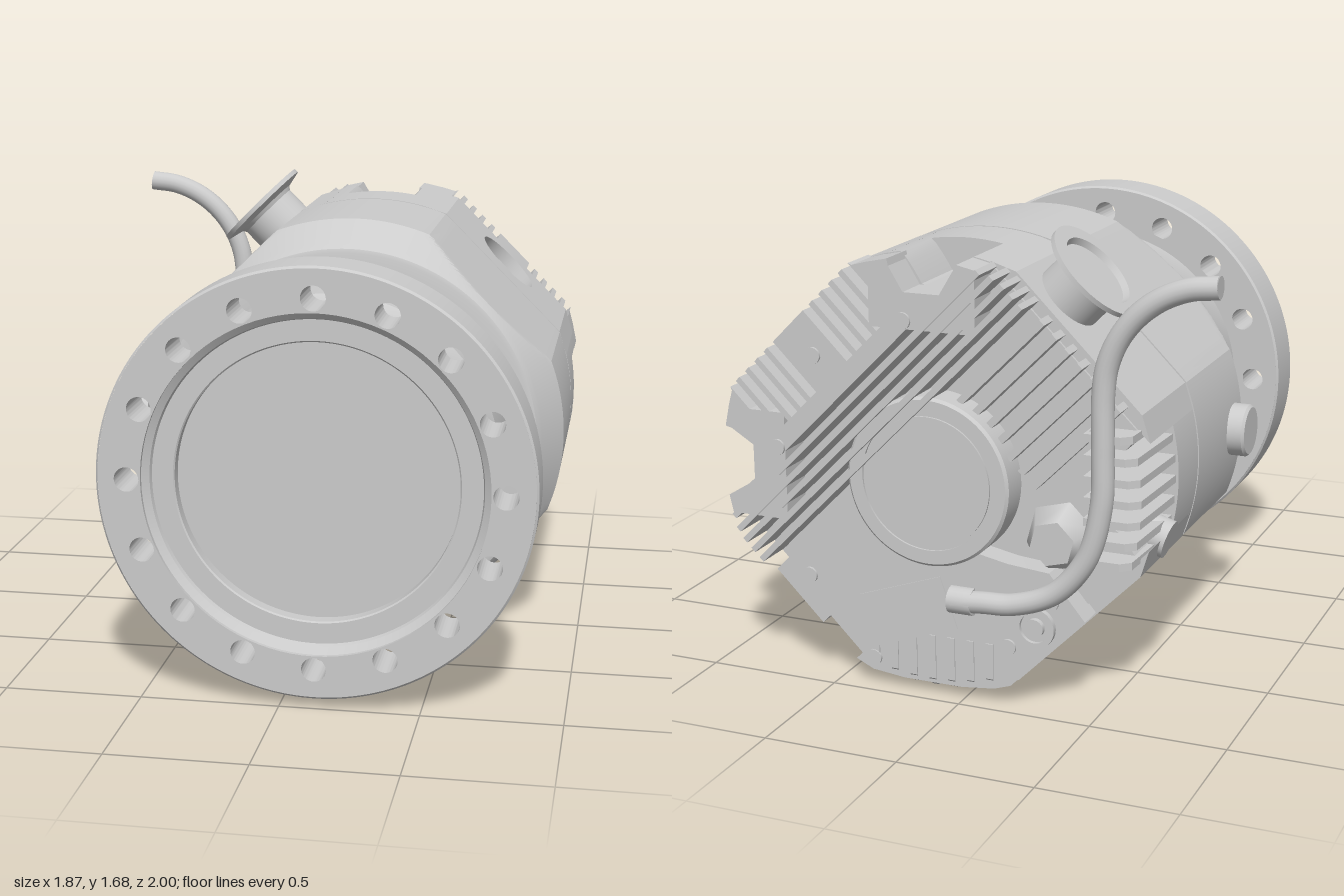
import * as THREE from 'three';
import { toCreasedNormals } from 'three/addons/utils/BufferGeometryUtils.js';

const mat = new THREE.MeshStandardMaterial({ color: 0xcccccc });
const R = 0.805, FLAT = 0.737, QUARTER = Math.PI / 2;

function add(parent, name, geo, x = 0, y = 0, z = 0) {
  const m = new THREE.Mesh(geo, mat);
  m.name = name;
  m.position.set(x, y, z);
  parent.add(m);
  return m;
}

// Distance from the axis at an angle, limited by four flats
function radiusAt(a, r, flat) {
  const d = a - Math.round(a / QUARTER) * QUARTER;
  return Math.min(r, flat / Math.cos(d));
}

// Turned body around z, with optional flats; profile is [radius, z]
function turned(profile, flat = Infinity, n = 180) {
  const pos = [], idx = [], w = n + 1;
  profile.forEach(([r, z]) => {
    for (let i = 0; i <= n; i++) {
      const a = (i / n) * Math.PI * 2, q = radiusAt(a, r, flat);
      pos.push(q * Math.cos(a), q * Math.sin(a), z);
    }
  });
  for (let j = 0; j < profile.length - 1; j++)
    for (let i = 0; i < n; i++) {
      const a = j * w + i, b = a + 1, c = a + w, d = c + 1;
      idx.push(a, c, b, b, c, d);
    }
  const g = new THREE.BufferGeometry();
  g.setAttribute('position', new THREE.Float32BufferAttribute(pos, 3));
  g.setIndex(idx);
  return toCreasedNormals(g, 0.35);
}

// Extrusion between two z values
function slab(shape, zBack, zFront) {
  const g = new THREE.ExtrudeGeometry(shape, { depth: zFront - zBack, bevelEnabled: false, curveSegments: 48 });
  g.translate(0, 0, zBack);
  return toCreasedNormals(g, 0.35);
}

const vectors = pts => pts.map(p => new THREE.Vector2(...p));
const polygon = pts => new THREE.Shape(vectors(pts));
const circle = (x, y, r) => new THREE.Path().absarc(x, y, r, 0, Math.PI * 2, true);
const lathe = (pts, n) => toCreasedNormals(new THREE.LatheGeometry(vectors(pts), n), 0.35);

// Body outline with flared cut-outs [angle, half angle, floor distance]
function outline(flat, cuts) {
  const pts = [];
  for (let i = 0; i < 360; i++) {
    const a = (i / 360) * Math.PI * 2;
    let r = radiusAt(a, R, flat);
    for (const [c, half, floor] of cuts) {
      const d = Math.atan2(Math.sin(a - c), Math.cos(a - c));
      const k = Math.max(0, (Math.abs(d) / half - 0.5) / 0.5);
      if (k < 1) r = Math.min(r, THREE.MathUtils.lerp(floor / Math.cos(d), R, k));
    }
    pts.push([r * Math.cos(a), r * Math.sin(a)]);
  }
  return polygon(pts);
}

// Cover on one flat, tapering to meet the round corners
function flatPanel(holes) {
  const s = polygon([[-0.415, 0.38], [0.415, 0.38], [0.415, 0.84], [-0.415, 0.84]]);
  s.holes.push(...holes);
  const g = new THREE.ExtrudeGeometry(s, { depth: FLAT - 0.69, bevelEnabled: false, curveSegments: 32 });
  const p = g.attributes.position;
  for (let i = 0; i < p.count; i++)
    if (Math.abs(p.getX(i)) > 0.4 && p.getZ(i) > 0.01) p.setX(i, Math.sign(p.getX(i)) * 0.325);
  g.rotateX(-QUARTER);
  g.translate(0, 0.69, 0);
  return toCreasedNormals(g, 0.35);
}

export function createModel() {
  const model = new THREE.Group();
  model.name = 'pump';
  // Turned 45 degrees so that the flats lie on the local axes
  const body = new THREE.Group();
  body.name = 'housing';
  body.position.set(0.125, 0.81, 0);
  body.rotation.z = -Math.PI / 4;
  model.add(body);

  // Front flange with bolt holes
  const ring = new THREE.Shape().absarc(0, 0, 0.762, 0, Math.PI * 2, false);
  ring.holes.push(circle(0, 0, 0.61));
  for (let i = 0; i < 16; i++) {
    const a = (i / 16) * Math.PI * 2;
    ring.holes.push(circle(0.66 * Math.cos(a), 0.66 * Math.sin(a), 0.044));
  }
  add(body, 'flange', slab(ring, 0.8, 1));
  add(body, 'flangeRim', turned([[0.762, 1], [0.77, 0.992], [0.77, 0.808], [0.762, 0.8]]));
  add(body, 'inletBore', turned([[0, 0.9], [0.5, 0.9], [0.5, 0.945], [0.505, 0.95], [0.58, 0.95], [0.585, 0.965], [0.61, 0.985], [0.61, 1]]));
  add(body, 'neck', turned([[0.62, 0.8], [0.58, 0.8], [0.58, 0.69], [0.588, 0.65], [0.605, 0.61], [0.605, 0.3]]));

  // Main housing, with closely stepped chamfer so the flats run out in curves
  const main = [[0.59, 0.315], [0.7, 0.315], [0.715, 0.31]];
  for (let i = 0; i <= 12; i++) main.push([0.725 + 0.08 * i / 12, 0.297 - 0.137 * i / 12]);
  main.push([R, -0.368], [0.7, -0.368]);
  add(body, 'mainHousing', turned(main, FLAT));
  add(body, 'jointGroove', turned([[0.795, -0.36], [0.795, -0.385]], 0.727));

  // Rear housing: notches on two corners, finned recesses on the others
  const q = Math.PI / 4;
  const cuts = [[q, 0.17, 0.68], [3 * q, 0.17, 0.68], [5 * q, 0.33, 0.64], [7 * q, 0.33, 0.64]];
  add(body, 'rearHousing', slab(outline(0.69, []), -0.6, -0.38));
  add(body, 'rearCore', slab(outline(0.69, cuts), -0.85, -0.6));
  const pocket = new THREE.Path(vectors([[0.11, 0.7], [0.11, 0.84 - 0.002], [0.29, 0.84 - 0.002], [0.29, 0.7]]));
  const panels = [[circle(0, 0.64, 0.14)], [circle(-0.155, 0.64, 0.14), pocket], [], []];
  panels.forEach((holes, i) => {
    add(body, 'flatPanel', flatPanel(holes)).rotation.z = -i * QUARTER;
  });

  // Rear ends of the two notches
  const notch = polygon([[0.55, -0.2], [0.775, -0.2], [0.79, -0.135], [0.68, -0.068], [0.68, 0.068], [0.79, 0.135], [0.775, 0.2], [0.55, 0.2]]);
  for (const a of [q, 3 * q])
    add(body, 'notchEnd', slab(notch, -0.985, -0.84)).rotation.z = a;

  // Cooling fins in the two corner recesses
  for (const corner of [5 * q, 7 * q]) {
    const g = new THREE.Group();
    g.name = 'cornerFins';
    g.rotation.z = corner;
    for (let i = -3; i <= 3; i++) {
      const y = i * 0.075, out = Math.sqrt(R * R - y * y) - 0.01;
      const fin = polygon([[0.58, -0.6], [out, -0.6], [out - 0.015, -0.92], [out - 0.05, -0.95], [0.58, -0.95]]);
      const geo = new THREE.ExtrudeGeometry(fin, { depth: 0.028, bevelEnabled: false });
      geo.rotateX(QUARTER);
      add(g, 'coolingFin', geo, 0, y + 0.014, 0);
    }
    body.add(g);
  }

  // Toothed rear block above the long fins
  const teeth = [[-0.41, 0.43], [-0.41, 0.55], [-0.47, 0.65], [-0.4, 0.695], [-0.352, 0.722]];
  for (const start of [-0.346, 0.088])
    for (let i = 0; i < 5; i++) {
      const x = start + i * 0.056;
      teeth.push([x, 0.736], [x, 0.5], [x + 0.034, 0.5], [x + 0.034, 0.736]);
    }
  teeth.push([0.352, 0.722], [0.4, 0.695], [0.47, 0.65], [0.41, 0.55], [0.41, 0.43]);
  add(body, 'toothedBlock', slab(polygon(teeth.reverse()), -0.985, -0.83));

  // Long parallel fins across the back, trimmed to the round body
  for (let i = 0; i < 5; i++) {
    const y = 0.21 + i * 0.046;
    const half = Math.min(0.73, Math.sqrt(0.64 - y * y));
    add(body, 'longFin', new THREE.BoxGeometry(half * 2, 0.022, 0.15), 0, y, -0.915);
  }

  // Round rear cover with a shallow ring
  add(body, 'rearCover', turned([[0.31, -0.84], [0.31, -0.96], [0.3, -0.97], [0.25, -0.97], [0.25, -0.962], [0.24, -0.962], [0.24, -0.97], [0, -0.97]]));

  // Electronics block, with the rear half of the side pocket, and its plate
  const block = [[0.2, 0.15], [0.735, 0.15], [0.735, -0.11], [0.69, -0.11], [0.69, -0.29], [0.725, -0.29], [0.7, -0.36], [0.62, -0.46],
    [0.46, -0.62], [0.36, -0.7], [0.3, -0.73], [-0.1, -0.73], [-0.12, -0.52], [-0.02, -0.4], [0.1, -0.22]];
  add(body, 'electronicsBlock', slab(polygon(block.reverse()), -0.945, -0.83));
  add(body, 'namePlate', new THREE.BoxGeometry(0.34, 0.2, 0.02), 0.42, -0.29, -0.94).rotation.z = 0.45;

  // Short fins on the cable side
  for (let i = 0; i < 7; i++)
    add(body, 'shortFin', new THREE.BoxGeometry(0.44, 0.026, 0.09), -0.5, 0.13 - i * 0.065, -0.875);

  // Six-sided boss and round connector
  add(body, 'cableBoss', new THREE.CylinderGeometry(0.085, 0.14, 0.1, 6), -0.2, -0.45, -0.89).rotation.x = -QUARTER;
  add(body, 'connector', turned([[0.075, -0.9], [0.075, -0.965], [0.055, -0.965], [0.055, -0.95],
    [0.035, -0.95], [0.035, -0.97], [0, -0.97]], Infinity, 32), 0.06, -0.63, 0);

  // Cover screws
  for (const [x, y, z] of [[0, 0.6, -0.985], [-0.36, 0.46, -0.985], [0.36, 0.46, -0.985], [0.64, 0.05, -0.945], [0.66, -0.33, -0.945], [0.2, -0.62, -0.945], [-0.05, -0.6, -0.945]])
    add(body, 'coverScrew', new THREE.CylinderGeometry(0.03, 0.03, 0.02, 20), x, y, z).rotation.x = QUARTER;

  // Side port with a clamp flange, offset along its flat
  const port = [[0.125, 0.68], [0.125, 0.84], [0.135, 0.855], [0.2, 0.87], [0.2, 0.888], [0.145, 0.888], [0.135, 0.865], [0, 0.865]];
  add(body, 'sidePort', lathe(port, 56), 0, 0.155, -0.65).rotation.z = QUARTER;

  // Plug on the right side and a small disc behind it
  add(model, 'sidePlug', lathe([[0.1, 0], [0.1, 0.075], [0.09, 0.085], [0, 0.085]], 40), -0.66, 0.81, 0.07).rotation.z = QUARTER;
  add(model, 'sideDisc', new THREE.CylinderGeometry(0.07, 0.07, 0.08, 32), -0.628, 0.61, -0.65).rotation.z = QUARTER + 0.3;

  // Cable running round the back and out to the side
  const path = [[0.03, 0.38], [-0.08, 0.39], [-0.2, 0.4], [-0.35, 0.46], [-0.47, 0.6], [-0.525, 0.8], [-0.53, 1.0], [-0.53, 1.19]]
    .map(([x, y]) => new THREE.Vector3(x, y, -0.96));
  for (let i = 1; i <= 6; i++) {
    const a = (i / 6) * QUARTER;
    path.push(new THREE.Vector3(-0.93 + 0.4 * Math.cos(a), 1.19 + 0.4 * Math.sin(a), -0.96));
  }
  add(model, 'cable', new THREE.TubeGeometry(new THREE.CatmullRomCurve3(path), 90, 0.04, 16));
  add(model, 'cableEnd', new THREE.CircleGeometry(0.04, 16), -0.93, 1.59, -0.96).rotation.y = -QUARTER;
  add(model, 'cableGland', new THREE.CylinderGeometry(0.05, 0.05, 0.09, 20), 0.0, 0.383, -0.95).rotation.z = QUARTER;

  return model;
}
